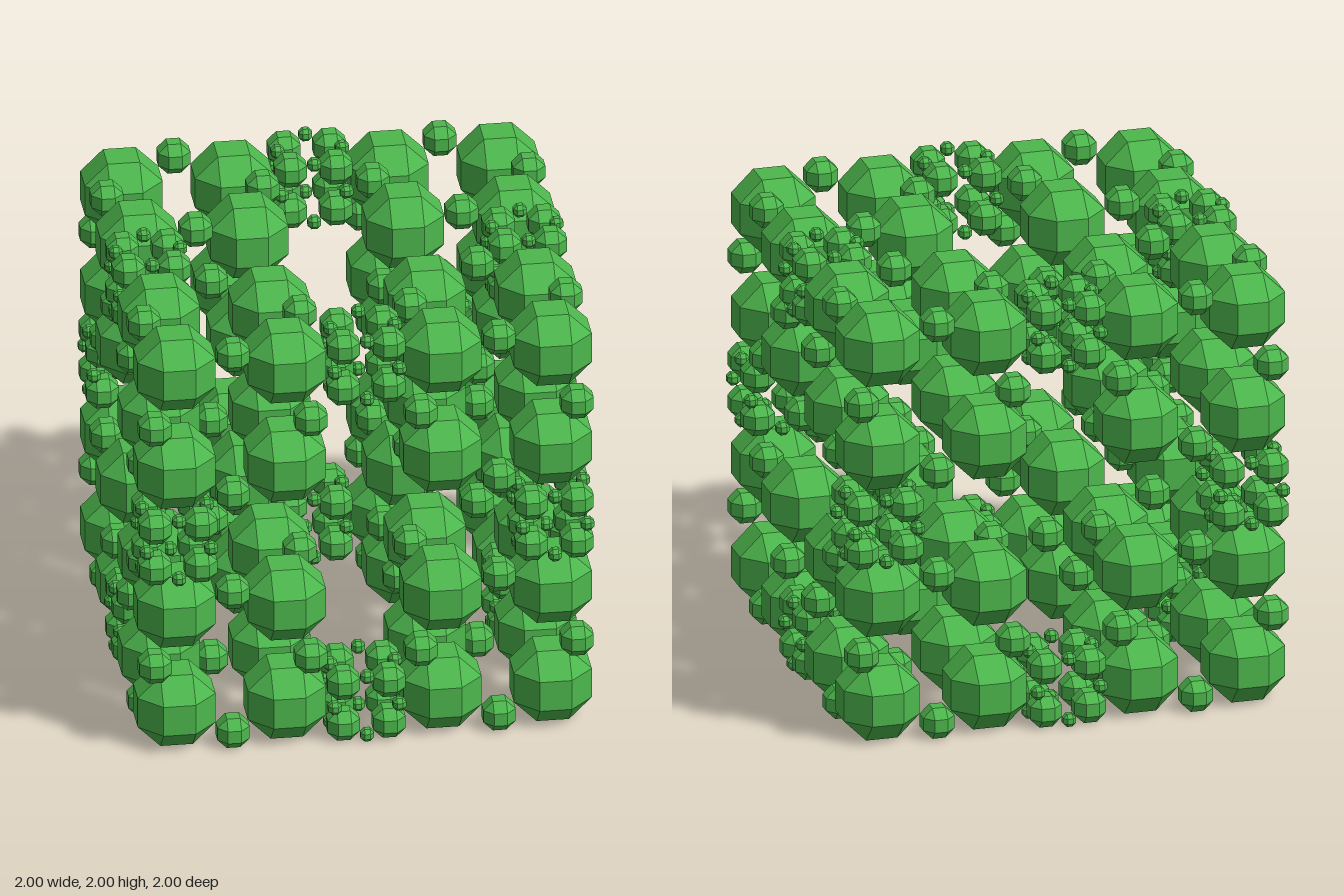
import * as THREE from 'three';
import { ConvexGeometry } from 'three/addons/geometries/ConvexGeometry.js';

// Silver-ratio split of an edge: large + small + large = R + R*R + R = 1
const R = Math.SQRT2 - 1;
const DEPTH = 2;

// Unit rhombicuboctahedron: all sign changes and rotations of (1, R, R)
function createBead() {
  const points = [];
  for (const sx of [-1, 1]) for (const sy of [-1, 1]) for (const sz of [-1, 1]) {
    points.push(
      new THREE.Vector3(sx, sy * R, sz * R),
      new THREE.Vector3(sx * R, sy, sz * R),
      new THREE.Vector3(sx * R, sy * R, sz),
    );
  }
  return new ConvexGeometry(points);
}

// 8 large cells at the corners of a cube and 12 small ones in the middle of its edges
function createCells() {
  const cells = [];
  for (const x of [-1, 0, 1]) for (const y of [-1, 0, 1]) for (const z of [-1, 0, 1]) {
    const zeros = [x, y, z].filter((v) => v === 0).length;
    if (zeros > 1) continue;
    const scale = zeros === 0 ? R : R * R;
    cells.push({
      name: zeros === 0 ? 'corner' : 'edge',
      scale,
      position: new THREE.Vector3(x, y, z).multiplyScalar(1 - scale),
    });
  }
  return cells;
}

export function createModel() {
  const bead = createBead();
  const cells = createCells();
  const material = new THREE.MeshStandardMaterial({ color: 0x4db84d, flatShading: true });

  // Each cell is replaced by a scaled copy of the whole cube until beads remain
  function build(level) {
    if (level === 0) return new THREE.Mesh(bead, material);
    const cluster = new THREE.Group();
    for (const { name, scale, position } of cells) {
      const part = build(level - 1);
      part.name = name + (level === 1 ? 'Bead' : 'Cluster');
      part.scale.setScalar(scale);
      part.position.copy(position);
      cluster.add(part);
    }
    return cluster;
  }

  const cube = build(DEPTH);
  cube.name = 'fractalCube';
  cube.position.y = 1;

  const model = new THREE.Group();
  model.name = 'beadFractal';
  model.add(cube);
  return model;
}
